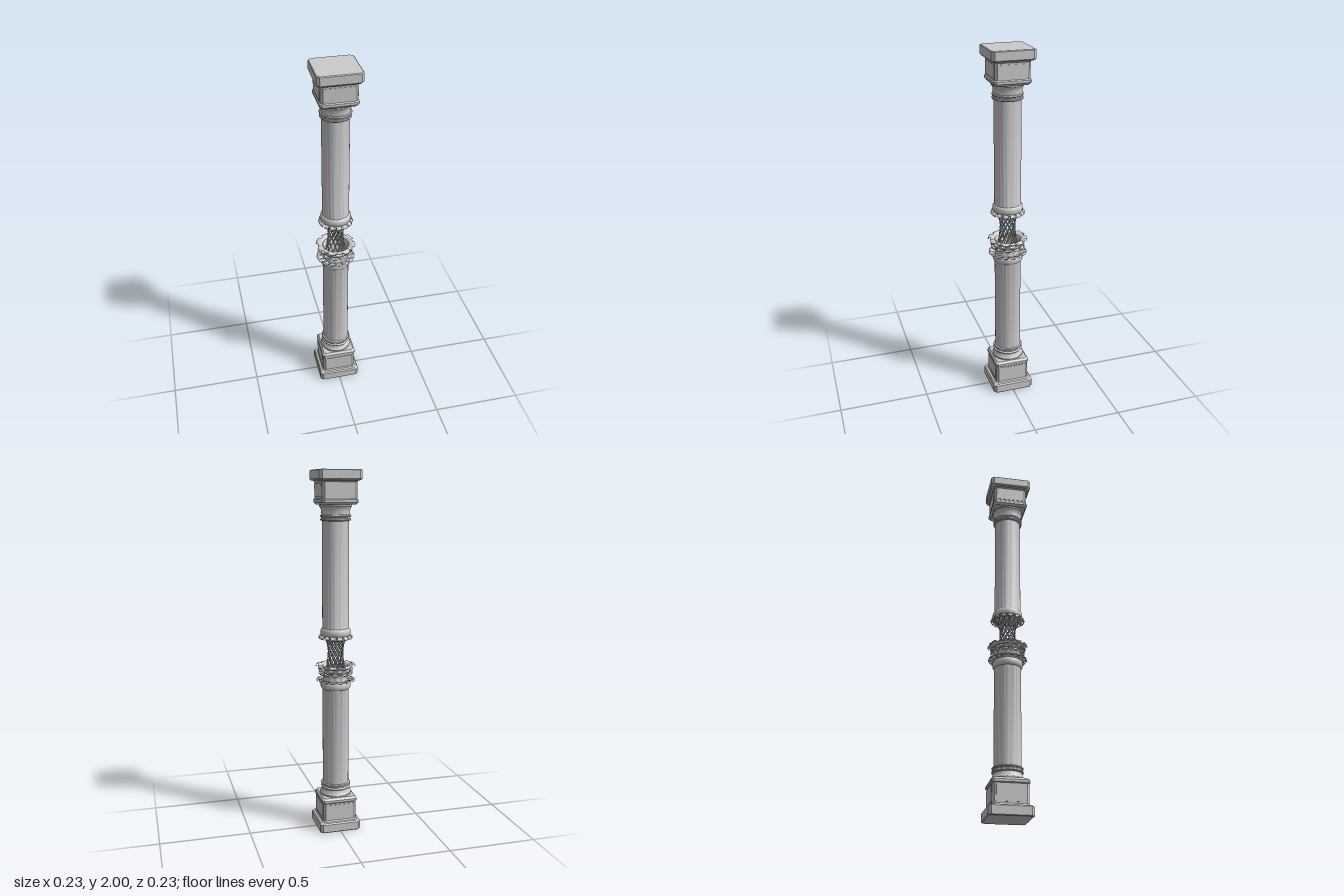
import * as THREE from 'three';
import { toCreasedNormals } from 'three/addons/utils/BufferGeometryUtils.js';

const stone = new THREE.MeshStandardMaterial({ color: 0xcccccc });
const leafStone = new THREE.MeshStandardMaterial({ color: 0xcccccc, side: THREE.DoubleSide });

function addMesh(parent, name, geometry, material = stone) {
  const mesh = new THREE.Mesh(geometry, material);
  mesh.name = name;
  parent.add(mesh);
  return mesh;
}

// Turned part from [radius, y] pairs, listed from bottom to top
function turned(profile, segments = 48) {
  const points = profile.map(([r, y]) => new THREE.Vector2(r, y));
  return toCreasedNormals(new THREE.LatheGeometry(points, segments), 0.6);
}

// Stack of square sections with cut corners, from [halfWidth, y, cut] triples
function squareLoft(sections) {
  const positions = [], index = [];
  for (const [w, y, c] of sections) {
    const k = w - c;
    for (const [x, z] of [[w, k], [w, -k], [k, -w], [-k, -w], [-w, -k], [-w, k], [-k, w], [k, w]]) {
      positions.push(x, y, z);
    }
  }
  const last = (sections.length - 1) * 8;
  for (let s = 0; s < last; s += 8) {
    for (let i = 0; i < 8; i++) {
      const j = (i + 1) % 8;
      index.push(s + i, s + j, s + 8 + j, s + i, s + 8 + j, s + 8 + i);
    }
  }
  for (let i = 1; i < 7; i++) index.push(0, i + 1, i, last, last + i, last + i + 1);
  const geometry = new THREE.BufferGeometry();
  geometry.setAttribute('position', new THREE.Float32BufferAttribute(positions, 3));
  geometry.setIndex(index);
  const flat = geometry.toNonIndexed();
  flat.computeVertexNormals();
  return flat;
}

// Half of the column: pedestal, moulded foot, shaft and collar
function createHalf(name, blockTop, length) {
  const half = new THREE.Group();
  half.name = name;
  const t = blockTop;
  addMesh(half, 'pedestal', squareLoft([
    [0.113, 0, 0.014], [0.117, 0.004, 0.015], [0.117, 0.048, 0.015], [0.111, 0.055, 0.014],
    [0.1, 0.057, 0.012], [0.095, 0.064, 0.012], [0.095, t - 0.03, 0.012],
    [0.1, t - 0.025, 0.012], [0.1, t - 0.012, 0.012], [0.09, t, 0.012],
  ]));
  // Raised panel on each face of the pedestal
  for (let i = 0; i < 4; i++) {
    const panel = addMesh(half, 'pedestalPanel', new THREE.BoxGeometry(0.15, t - 0.11, 0.004));
    const a = i * Math.PI / 2;
    panel.position.set(Math.sin(a) * 0.0955, (t + 0.034) / 2, Math.cos(a) * 0.0955);
    panel.rotation.y = a;
  }
  addMesh(half, 'shaft', turned([
    [0, t - 0.002], [0.088, t - 0.002], [0.088, t + 0.008], [0.082, t + 0.016], [0.077, t + 0.03],
    [0.076, 0.232], [0.081, 0.234], [0.084, 0.239], [0.081, 0.244], [0.077, 0.246], [0.077, 0.252],
    [0.081, 0.254], [0.083, 0.258], [0.081, 0.263], [0.073, 0.266],
    [0.073, length - 0.042], [0.078, length - 0.039], [0.083, length - 0.03],
    [0.083, length - 0.008], [0.078, length], [0, length],
  ]));
  return half;
}

// Lobed leaf strip that follows [radius, y] points, pinched to a tip
function leafGeometry(path, width) {
  const curve = new THREE.CatmullRomCurve3(path.map(([r, y]) => new THREE.Vector3(0, y, r)));
  const rows = 14, columns = 4;
  const geometry = new THREE.PlaneGeometry(1, 1, columns, rows);
  const position = geometry.attributes.position;
  const point = new THREE.Vector3(), tangent = new THREE.Vector3();
  for (let i = 0; i < position.count; i++) {
    const u = position.getX(i) * 2, t = position.getY(i) + 0.5;
    curve.getPoint(t, point);
    curve.getTangent(t, tangent);
    const spread = width * (0.65 + 0.5 * Math.sin(t * Math.PI)) * Math.sqrt(1.02 - t ** 4)
      * (0.85 + 0.15 * Math.cos(t * Math.PI * 7));
    const cup = 0.006 * u * u * (1 - t);
    position.setXYZ(i, u * spread / 2, point.y + tangent.z * cup, point.z - tangent.y * cup);
  }
  geometry.computeVertexNormals();
  return geometry;
}

function leafRing(name, count, path, width, offset = 0) {
  const ring = new THREE.Group();
  ring.name = name;
  const geometry = leafGeometry(path, width);
  for (let i = 0; i < count; i++) {
    addMesh(ring, 'leaf', geometry, leafStone).rotation.y = (i + offset) / count * Math.PI * 2;
  }
  return ring;
}

// Open basket of crossing helical strands
function createLattice() {
  const lattice = new THREE.Group();
  lattice.name = 'lattice';
  const outline = new THREE.SplineCurve([
    [0.057, 0.855], [0.052, 0.92], [0.044, 0.98], [0.041, 1.02], [0.045, 1.06], [0.056, 1.09], [0.074, 1.115],
  ].map(([r, y]) => new THREE.Vector2(r, y)));
  const strands = 12;
  for (const direction of [1, -1]) {
    const points = [];
    for (let i = 0; i <= 24; i++) {
      const p = outline.getPoint(i / 24), a = direction * i / 24 * Math.PI * 0.95;
      points.push(new THREE.Vector3(Math.sin(a) * p.x, p.y, Math.cos(a) * p.x));
    }
    const geometry = new THREE.TubeGeometry(new THREE.CatmullRomCurve3(points), 36, 0.0027, 6);
    for (let i = 0; i < strands; i++) {
      addMesh(lattice, 'strand', geometry).rotation.y = i / strands * Math.PI * 2;
    }
  }
  return lattice;
}

export function createModel() {
  const column = new THREE.Group();
  column.name = 'column';

  column.add(createHalf('lowerHalf', 0.195, 0.855));
  const upper = createHalf('upperHalf', 0.18, 0.887);
  upper.rotation.x = Math.PI;
  upper.position.y = 2;
  column.add(upper);

  column.add(createLattice());

  // Bell behind the leaves of the crown
  addMesh(column, 'crownBell', turned([
    [0.07, 0.853], [0.066, 0.875], [0.062, 0.9], [0.064, 0.92], [0.075, 0.94], [0.07, 0.942], [0.055, 0.92], [0.05, 0.86],
  ]), leafStone);

  // Curled leaves of the crown, from bottom to top
  column.add(leafRing('lowCrownLeaves', 16,
    [[0.068, 0.857], [0.085, 0.86], [0.1, 0.868], [0.105, 0.862], [0.1, 0.857]], 0.034));
  column.add(leafRing('middleCrownLeaves', 12,
    [[0.069, 0.86], [0.07, 0.885], [0.078, 0.905], [0.09, 0.908], [0.092, 0.898], [0.086, 0.894]], 0.036, 0.5));
  column.add(leafRing('highCrownLeaves', 12,
    [[0.064, 0.88], [0.066, 0.905], [0.076, 0.926], [0.09, 0.929], [0.094, 0.92], [0.088, 0.915]], 0.036));
  column.add(leafRing('topCrownLeaves', 8,
    [[0.063, 0.895], [0.066, 0.925], [0.08, 0.947], [0.1, 0.951], [0.109, 0.943], [0.103, 0.935]], 0.052, 0.5));
  column.add(leafRing('innerTopLeaves', 8,
    [[0.06, 0.9], [0.066, 0.93], [0.08, 0.946], [0.096, 0.948], [0.1, 0.941]], 0.046));

  // Leaves hanging under the upper collar
  column.add(leafRing('collarLeaves', 16,
    [[0.066, 1.113], [0.08, 1.113], [0.09, 1.107], [0.091, 1.098], [0.084, 1.094]], 0.03));
  column.add(leafRing('innerCollarLeaves', 12,
    [[0.05, 1.07], [0.054, 1.087], [0.064, 1.1], [0.078, 1.102], [0.082, 1.094]], 0.026, 0.5));

  return column;
}
